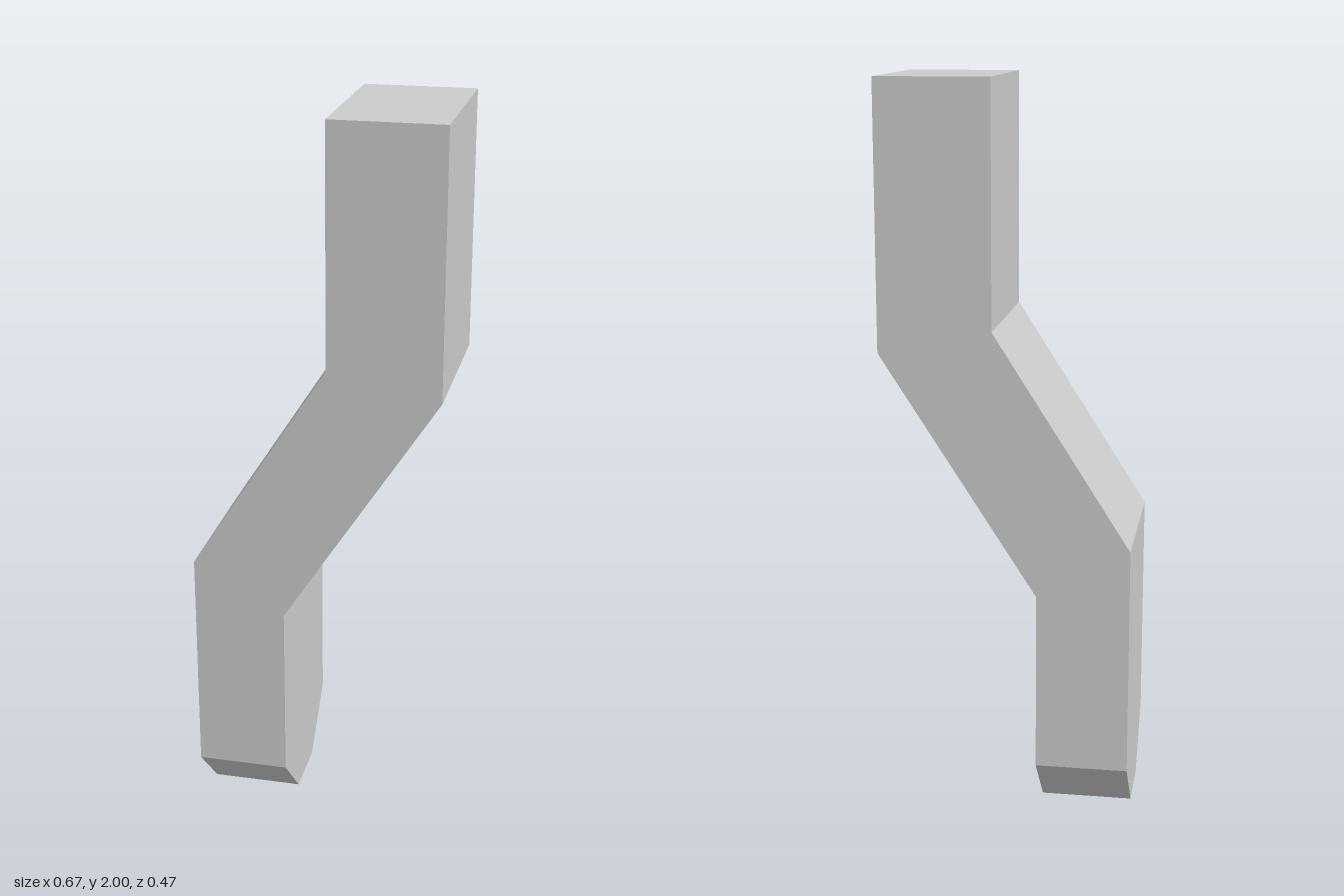
import * as THREE from 'three';

// Cross-sections from bottom to top: outer x, its y, inner x, its y, half depth
const SECTIONS = [
  [-0.335, 0, -0.085, 0, 0.087],        // narrow tip
  [-0.335, 0.155, -0.085, 0.155, 0.237], // end of the chamfer
  [-0.335, 0.78, -0.085, 0.643, 0.237],  // lower bend (mitred)
  [0.033, 1.357, 0.335, 1.294, 0.237],   // upper bend (mitred)
  [0.033, 2, 0.335, 2, 0.237],           // flat top
];

// Skin four-cornered sections with quads and close both ends
function loftGeometry(sections) {
  const rings = sections.map(([xl, yl, xr, yr, d]) => [
    [xl, yl, d], [xr, yr, d], [xr, yr, -d], [xl, yl, -d],
  ]);
  const positions = [];
  const quad = (a, b, c, d) => positions.push(...a, ...b, ...c, ...a, ...c, ...d);

  for (let s = 0; s < rings.length - 1; s++) {
    for (let i = 0; i < 4; i++) {
      const j = (i + 1) % 4;
      quad(rings[s][i], rings[s][j], rings[s + 1][j], rings[s + 1][i]);
    }
  }
  quad(...rings[rings.length - 1]);
  quad(...[...rings[0]].reverse());

  const geometry = new THREE.BufferGeometry();
  geometry.setAttribute('position', new THREE.Float32BufferAttribute(positions, 3));
  geometry.computeVertexNormals();
  return geometry;
}

export function createModel() {
  const model = new THREE.Group();
  model.name = 'crankedLeg';

  // Offset leg with a chamfered foot, one continuous solid
  const leg = new THREE.Mesh(
    loftGeometry(SECTIONS),
    new THREE.MeshStandardMaterial({ color: 0xcccccc, flatShading: true })
  );
  leg.name = 'leg';
  model.add(leg);
  return model;
}
